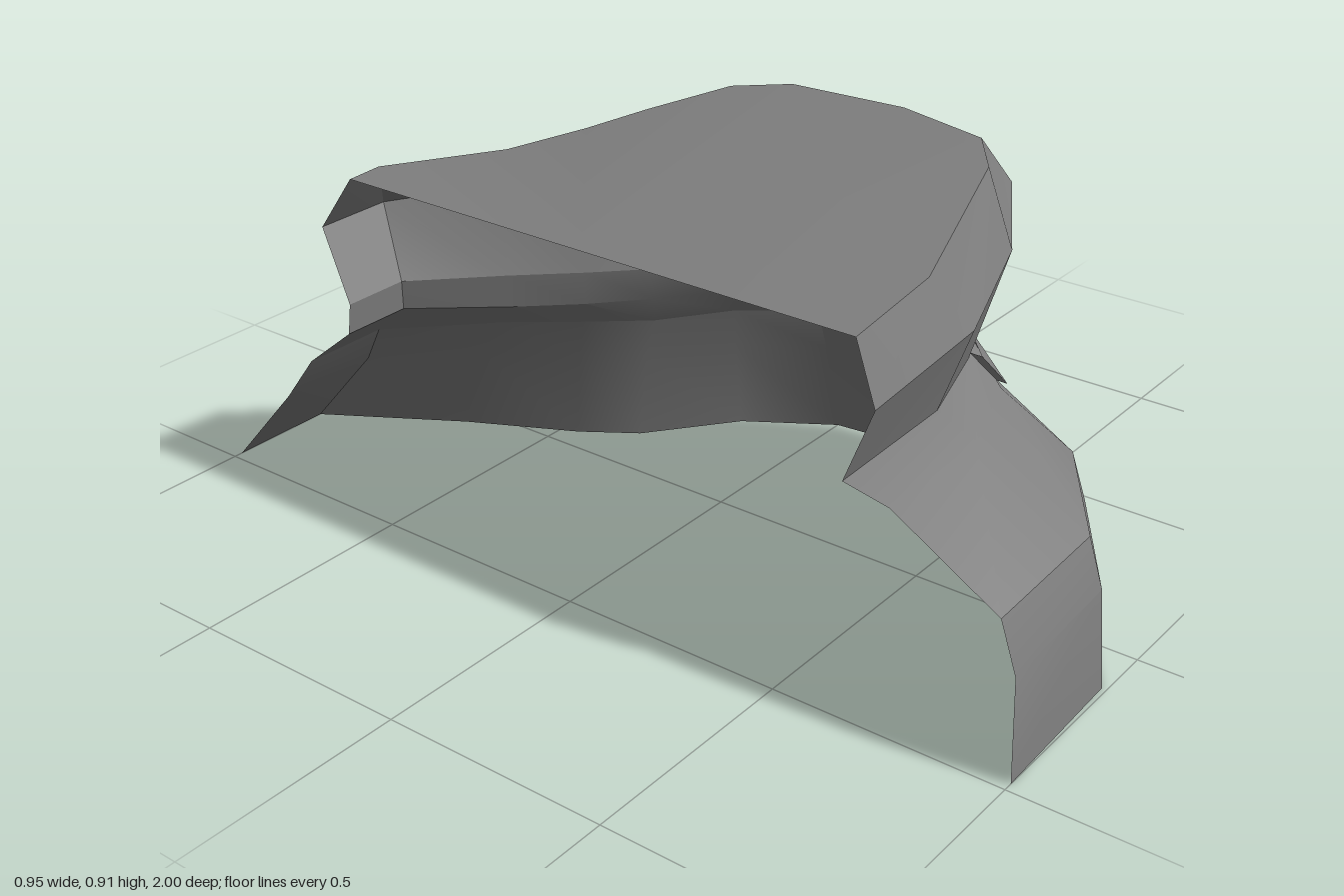
import * as THREE from 'three';
import { toCreasedNormals } from 'three/addons/utils/BufferGeometryUtils.js';

// Each ring runs from the front cut edge, round the +x side, to the back cut edge: [x, y, z]
const ground = [[-.48, 0, 1], [-.125, 0, .99], [.14, 0, .81], [.31, 0, .55], [.475, 0, .26], [.45, 0, 0],
  [.33, 0, -.19], [.14, 0, -.34], [.06, 0, -.46], [-.06, 0, -.7], [-.24, 0, -1], [-.48, 0, -1]];
const skirtMid = [[-.48, .22, .995], [-.14, .22, .98], [.13, .22, .8], [.28, .22, .55], [.405, .22, .26], [.395, .22, 0],
  [.28, .22, -.17], [.12, .22, -.3], [.03, .22, -.42], [-.09, .22, -.61], [-.24, .2, -.82], [-.48, .2, -.82]];
const ledge = [[-.48, .325, .96], [-.145, .325, .95], [.12, .325, .77], [.25, .325, .55], [.375, .325, .26], [.36, .325, 0],
  [.25, .325, -.15], [.1, .325, -.26], [0, .325, -.38], [-.11, .325, -.52], [-.28, .31, -.735], [-.48, .31, -.735]];
const shoulderMid = [[-.48, .46, .73], [-.17, .455, .72], [.09, .43, .62], [.22, .405, .48], [.285, .4, .24], [.28, .4, 0],
  [.19, .4, -.12], [.06, .4, -.23], [-.05, .4, -.33], [-.16, .4, -.45], [-.32, .41, -.61], [-.48, .41, -.61]];
const neck = [[-.48, .48, .63], [-.15, .48, .62], [.08, .48, .55], [.21, .48, .46], [.24, .48, .2], [.235, .48, 0],
  [.17, .48, -.11], [.04, .48, -.22], [-.06, .48, -.32], [-.17, .48, -.44], [-.33, .48, -.6], [-.48, .48, -.6]];
const brim = [[-.475, .635, .69], [-.15, .665, .69], [.1, .72, .62], [.3, .77, .5], [.335, .775, .2], [.31, .775, 0],
  [.2, .76, -.13], [.06, .715, -.26], [-.04, .69, -.36], [-.14, .67, -.48], [-.3, .635, -.67], [-.475, .635, -.67]];
const rim = [[-.48, .765, .65], [-.25, .795, .65], [.09, .88, .565], [.17, .9, .5], [.205, .91, .3], [.19, .91, .04],
  [.14, .895, -.08], [0, .86, -.19], [-.1, .83, -.27], [-.22, .795, -.38], [-.4, .768, -.57], [-.48, .765, -.57]];

function toGeometry(points) {
  const geo = new THREE.BufferGeometry();
  geo.setAttribute('position', new THREE.Float32BufferAttribute(points.flat(), 3));
  geo.computeVertexNormals();
  return toCreasedNormals(geo, 0.55);
}

// Skin between successive rings, listed from the bottom up
function loft(rings) {
  const tris = [];
  for (let r = 0; r < rings.length - 1; r++) {
    const low = rings[r], high = rings[r + 1];
    for (let c = 0; c < low.length - 1; c++) {
      tris.push(low[c], low[c + 1], high[c + 1], low[c], high[c + 1], high[c]);
    }
  }
  return toGeometry(tris);
}

// Surface closing a ring, fanned from one point
function fan(ring, hub) {
  const tris = [];
  for (let c = 0; c < ring.length - 1; c++) tris.push(hub, ring[c], ring[c + 1]);
  return toGeometry(tris);
}

export function createModel() {
  const model = new THREE.Group();
  model.name = 'halfRockShell';
  const stone = new THREE.MeshStandardMaterial({ color: 0x808080, side: THREE.DoubleSide });
  stone.name = 'grey stone';

  const add = (name, geometry) => {
    const mesh = new THREE.Mesh(geometry, stone);
    mesh.name = name;
    model.add(mesh);
  };

  // Base, with the sloping foot at the back
  add('baseSkirt', loft([ground, skirtMid, ledge]));
  add('shoulder', loft([ledge, shoulderMid, neck]));
  // Overhanging cap with a tilted top
  add('capUnderside', loft([neck, brim]));
  add('capBevel', loft([brim, rim]));
  add('capTop', fan(rim, [-.48, .765, .04]));
  // Small chip hanging below the cap at the front corner
  add('cornerChip', loft([
    [[.105, .435, .56], [.105, .435, .625], [.22, .41, .495], [.22, .41, .44]],
    [[.105, .477, .53], [.105, .477, .565], [.21, .477, .47], [.21, .477, .44]],
  ]));
  return model;
}
